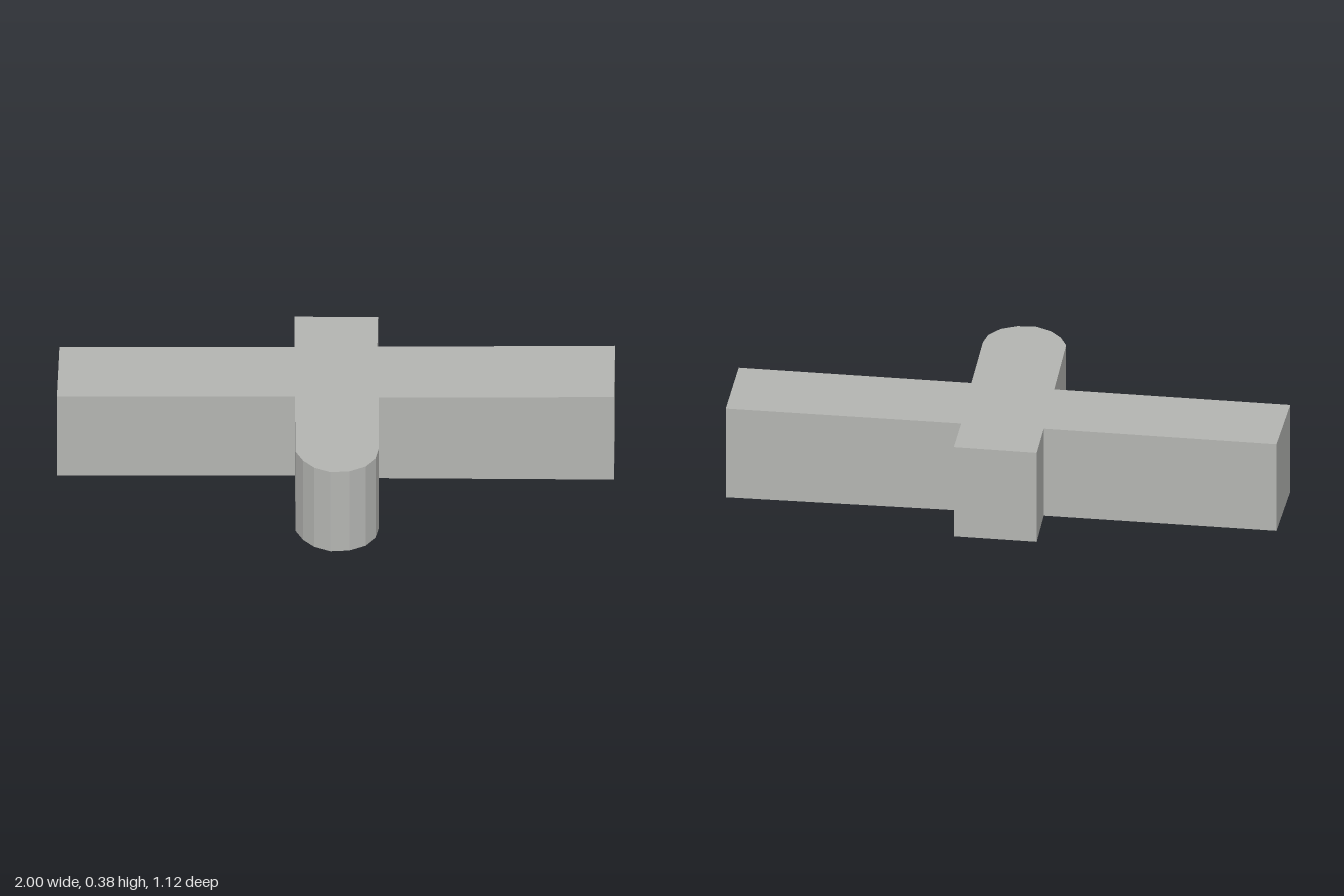
import * as THREE from 'three';

const TOP = 0.38;

// Outline seen from above, counter-clockwise from the left arm: x, z, height of the wall's foot
const outline = [
  [-1, -0.29, 0.017], [-0.2, 0.06, 0.016],                          // left arm, front side
  [-0.333, 0.37, 0.016], [-0.33, 0.43, 0.016], [-0.31, 0.486, 0.016], // rounded wing
  [-0.265, 0.535, 0.016], [-0.2, 0.558, 0.016], [-0.135, 0.555, 0.016],
  [-0.08, 0.525, 0.016], [-0.045, 0.475, 0.015],
  [0.08, 0.19, 0.009], [0.87, 0.535, 0.001], [1, 0.25, 0.008],      // right arm
  [0.2, -0.095, 0.015],
  [0.275, -0.26, 0.006], [-0.005, -0.385, 0.007],                   // rear stub
  [-0.08, -0.215, 0.015], [-0.87, -0.563, 0.017],                   // left arm, rear side
];

// Flat facets from the sloping ground line up to the roof; open underneath
function wallGeometry() {
  const pos = [];
  outline.forEach(([ax, az, ay], i) => {
    const [bx, bz, by] = outline[(i + 1) % outline.length];
    pos.push(ax, ay, az, bx, by, bz, bx, TOP, bz);
    pos.push(ax, ay, az, bx, TOP, bz, ax, TOP, az);
  });
  const g = new THREE.BufferGeometry();
  g.setAttribute('position', new THREE.Float32BufferAttribute(pos, 3));
  g.computeVertexNormals();
  return g;
}

function roofGeometry() {
  const shape = new THREE.Shape(outline.map(([x, z]) => new THREE.Vector2(x, -z)));
  return new THREE.ShapeGeometry(shape).rotateX(-Math.PI / 2).translate(0, TOP, 0);
}

export function createModel() {
  const group = new THREE.Group();
  group.name = 'building';
  const grey = new THREE.MeshStandardMaterial({ color: 0xb4b5b2, side: THREE.DoubleSide });
  grey.name = 'concrete grey';

  const walls = new THREE.Mesh(wallGeometry(), grey);
  walls.name = 'outerWalls';
  const roof = new THREE.Mesh(roofGeometry(), grey);
  roof.name = 'flatRoof';
  group.add(walls, roof);
  return group;
}
